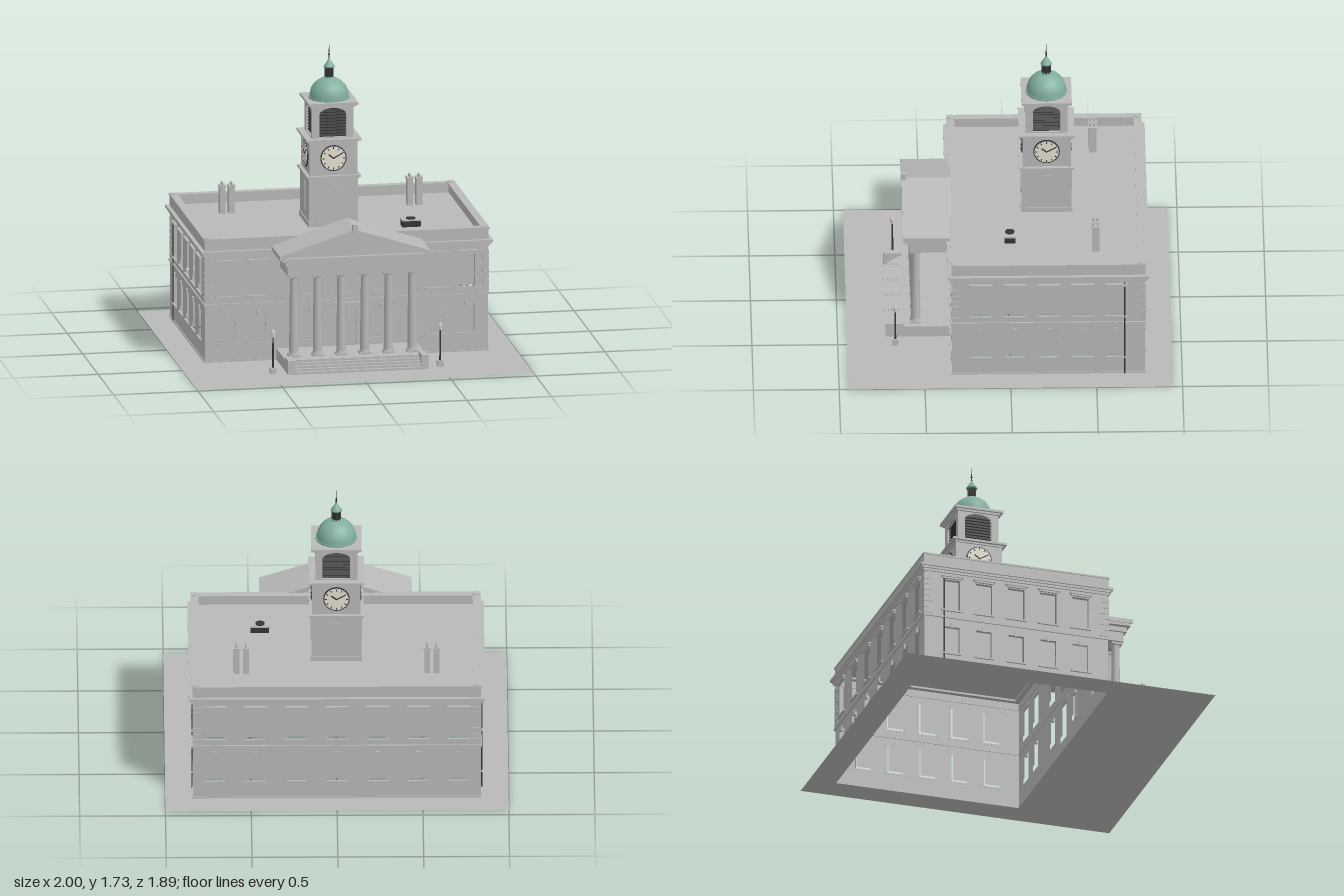
import * as THREE from 'three';

const stone = new THREE.MeshStandardMaterial({ color: 0xb8b8b8 }); stone.name = 'stone';
const shell = new THREE.MeshStandardMaterial({ color: 0xb8b8b8, side: THREE.DoubleSide }); shell.name = 'stone sheet';
const copper = new THREE.MeshStandardMaterial({ color: 0x82af9f }); copper.name = 'green copper';
const dark = new THREE.MeshStandardMaterial({ color: 0x343434 }); dark.name = 'dark iron';
const cream = new THREE.MeshStandardMaterial({ color: 0xe4e0d0 }); cream.name = 'cream';

const HX = 0.838, HZ = 0.5625, CZ = -0.2225; // building half sizes and centre

function add(parent, name, geo, mat, x = 0, y = 0, z = 0) {
  const m = new THREE.Mesh(geo, mat);
  m.name = name;
  m.position.set(x, y, z);
  parent.add(m);
  return m;
}
function group(parent, name, x = 0, y = 0, z = 0) {
  const g = new THREE.Group();
  g.name = name;
  g.position.set(x, y, z);
  parent.add(g);
  return g;
}
// box standing on y0
const box = (p, name, w, h, d, x, y0, z, mat = stone) =>
  add(p, name, new THREE.BoxGeometry(w, h, d), mat, x, y0 + h / 2, z);
const cyl = (p, name, rt, rb, h, x, y0, z, mat = stone, n = 16) =>
  add(p, name, new THREE.CylinderGeometry(rt, rb, h, n), mat, x, y0 + h / 2, z);
const lathe = (p, name, pts, mat, x, y, z, n = 20) =>
  add(p, name, new THREE.LatheGeometry(pts.map(a => new THREE.Vector2(...a)), n), mat, x, y, z);
const poly = pts => new THREE.Shape(pts.map(a => new THREE.Vector2(...a)));
const rect = (x0, y0, x1, y1) => poly([[x0, y0], [x1, y0], [x1, y1], [x0, y1]]);
const extrude = (s, depth) => new THREE.ExtrudeGeometry(s, { depth, bevelEnabled: false, curveSegments: 10 });

// rectangular frame lying flat, open in the middle
function frame(p, name, hx, hz, ix, iz, y0, h) {
  const s = rect(-hx, -hz, hx, hz);
  s.holes.push(rect(-ix, -iz, ix, iz));
  add(p, name, extrude(s, h).rotateX(-Math.PI / 2), stone, 0, y0, 0);
}

// one wall with its openings; local +z points outwards
function wall(p, name, half, dist, turn, lower, upper, door) {
  const g = group(p, name);
  g.rotation.y = turn;
  const s = rect(-half, 0, half, 0.66);
  const opening = (x, y0, y1, w) => {
    s.holes.push(rect(x - w / 2, y0, x + w / 2, y1));
    add(g, 'recessedPane', new THREE.PlaneGeometry(w, y1 - y0), shell, x, (y0 + y1) / 2, dist - 0.024);
  };
  for (const x of lower) {
    opening(x, 0.115, 0.285, 0.095);
    box(g, 'lowerSill', 0.12, 0.009, 0.012, x, 0.106, dist + 0.005);
    box(g, 'keystone', 0.022, 0.03, 0.01, x, 0.277, dist + 0.004);
  }
  for (const x of upper) {
    opening(x, 0.392, 0.585, 0.1);
    box(g, 'upperSill', 0.13, 0.01, 0.012, x, 0.382, dist + 0.005);
    box(g, 'hoodLower', 0.115, 0.01, 0.012, x, 0.59, dist + 0.005);
    box(g, 'hoodUpper', 0.135, 0.01, 0.018, x, 0.6, dist + 0.008);
  }
  if (door) {
    opening(0, 0.07, 0.3, 0.115);
    box(g, 'doorHood', 0.16, 0.014, 0.025, 0, 0.315, dist + 0.01);
  }
  add(g, name + 'Face', new THREE.ShapeGeometry(s), shell, 0, 0, dist);
  // quoins at both ends of the upper storey
  for (const e of [-1, 1]) for (let i = 0; i < 7; i++) {
    const w = i % 2 ? 0.035 : 0.055;
    box(g, 'quoin', w, 0.029, 0.004, e * (half + 0.003 - w / 2), 0.36 + i * 0.036, dist + 0.002);
  }
}

function column(p, x, z) {
  box(p, 'columnPlinth', 0.066, 0.012, 0.066, x, 0.068, z);
  cyl(p, 'columnBase', 0.028, 0.031, 0.014, x, 0.08, z);
  lathe(p, 'columnShaft', [[0.0275, 0.09], [0.0265, 0.25], [0.0225, 0.535], [0.03, 0.548]], stone, x, 0, z, 16);
  box(p, 'columnAbacus', 0.064, 0.012, 0.064, x, 0.547, z);
}

function portico(p) {
  const g = group(p, 'portico');
  box(g, 'porchFloor', 0.83, 0.068, 0.28, 0, 0, 0.48);
  for (let i = 0; i < 5; i++) box(g, 'step', 0.75, 0.0135 * (i + 1), 0.02, 0, 0, 0.71 - i * 0.02);
  for (const e of [-1, 1]) box(g, 'stepCheek', 0.04, 0.085, 0.105, e * 0.395, 0, 0.6675);
  for (let i = 0; i < 6; i++) column(g, -0.35 + i * 0.14, 0.545);
  box(g, 'architrave', 0.79, 0.058, 0.24, 0, 0.559, 0.46);
  box(g, 'frieze', 0.815, 0.03, 0.255, 0, 0.617, 0.4675);
  box(g, 'porticoCornice', 0.865, 0.02, 0.27, 0, 0.647, 0.475);
  add(g, 'tympanum', extrude(poly([[-0.41, 0.665], [0.41, 0.665], [0, 0.81]]), 0.245), stone, 0, 0, 0.34);
  add(g, 'rakingRoof', extrude(poly([[-0.445, 0.66], [0, 0.8], [0.445, 0.66], [0.445, 0.686], [0, 0.83], [-0.445, 0.686]]), 0.285), stone, 0, 0, 0.335);
  box(g, 'finialBlock', 0.03, 0.05, 0.03, 0, 0.81, 0.61);
}

function clockFace(p, dist) {
  const g = group(p, 'clock', 0, 1.087, dist);
  const disc = (r, h, m, n) => add(g, n, new THREE.CylinderGeometry(r, r, h, 32).rotateX(Math.PI / 2), m, 0, 0, h / 2);
  disc(0.077, 0.007, dark, 'clockRim');
  disc(0.071, 0.009, cream, 'clockDial');
  const bar = (n, w, len, r, a) => {
    const m = add(g, n, new THREE.BoxGeometry(w, len, 0.003), dark, Math.sin(a) * r, Math.cos(a) * r, 0.0105);
    m.rotation.z = -a;
  };
  for (let i = 0; i < 12; i++) bar('hourMark', 0.005, 0.011, 0.061, i * Math.PI / 6);
  bar('hourHand', 0.008, 0.04, 0.018, -0.9);
  bar('minuteHand', 0.006, 0.058, 0.026, 1.05);
}

function tower(p) {
  const g = group(p, 'tower', 0, 0, CZ);
  const sq = (n, half, y0, h, m) => box(g, n, half * 2, h, half * 2, 0, y0, 0, m);
  sq('towerFoot', 0.15, 0.68, 0.03);
  sq('towerBase', 0.145, 0.71, 0.255);
  sq('baseMoulding', 0.15, 0.96, 0.012);
  sq('baseCornice', 0.16, 0.972, 0.012);
  sq('clockStage', 0.137, 0.984, 0.2);
  sq('clockMoulding', 0.146, 1.18, 0.01);
  sq('clockCornice', 0.163, 1.19, 0.013);
  sq('louvreCore', 0.095, 1.203, 0.19, dark);
  sq('belfryMoulding', 0.134, 1.39, 0.012);
  sq('belfryCornice', 0.147, 1.402, 0.015);
  for (let k = 0; k < 4; k++) {
    const f = group(g, 'towerSide');
    f.rotation.y = k * Math.PI / 2;
    box(f, 'basePanel', 0.045, 0.17, 0.006, 0, 0.755, 0.146);
    for (const e of [-1, 1]) box(f, 'clockPilaster', 0.025, 0.196, 0.008, e * 0.1285, 0.984, 0.137);
    clockFace(f, 0.137);
    // arched belfry opening with slats
    const s = rect(-0.123, 1.203, 0.123, 1.39), hole = new THREE.Path();
    hole.moveTo(-0.08, 1.21);
    hole.lineTo(0.08, 1.21);
    hole.lineTo(0.08, 1.345);
    hole.absellipse(0, 1.345, 0.08, 0.038, 0, Math.PI, false);
    hole.lineTo(-0.08, 1.21);
    s.holes.push(hole);
    add(f, 'belfryArch', extrude(s, 0.022), stone, 0, 0, 0.101);
    for (let i = 0; i < 9; i++) {
      const slat = box(f, 'louvreSlat', 0.158, 0.004, 0.018, 0, 1.215 + i * 0.018, 0.105, dark);
      slat.rotation.x = 0.6;
    }
  }
  // dome, lantern and spire
  cyl(g, 'domeDrum', 0.122, 0.122, 0.012, 0, 1.415, 0, copper, 16);
  const arc = [];
  for (let i = 0; i <= 10; i++) {
    const a = i * Math.PI / 20;
    arc.push([0.116 * Math.cos(a), 0.115 * Math.sin(a)]);
  }
  lathe(g, 'dome', arc, copper, 0, 1.427, 0, 16);
  cyl(g, 'lanternBase', 0.03, 0.032, 0.008, 0, 1.535, 0, copper);
  cyl(g, 'lanternCore', 0.016, 0.016, 0.062, 0, 1.54, 0, dark);
  for (let i = 0; i < 8; i++) {
    const a = i * Math.PI / 4;
    cyl(g, 'lanternPost', 0.004, 0.004, 0.062, Math.cos(a) * 0.023, 1.54, Math.sin(a) * 0.023, dark, 8);
  }
  lathe(g, 'lanternRoof', [[0, 0], [0.033, 0], [0.031, 0.008], [0.018, 0.026], [0.008, 0.044], [0, 0.056]], copper, 0, 1.6, 0, 16);
  cyl(g, 'spire', 0.0015, 0.004, 0.085, 0, 1.645, 0, dark, 8);
  add(g, 'spireBall', new THREE.SphereGeometry(0.006, 10, 8), dark, 0, 1.675, 0);
}

export function createModel() {
  const model = new THREE.Group();
  model.name = 'clockTowerHall';

  // ground sheet, open under the building
  const lot = rect(-1, -0.945, 1, 0.945);
  lot.holes.push(rect(-HX, -CZ - HZ, HX, -CZ + HZ));
  add(model, 'ground', new THREE.ShapeGeometry(lot).rotateX(-Math.PI / 2), shell);

  // hollow main block
  const hall = group(model, 'hall', 0, 0, CZ);
  const sides = [-0.71, -0.525, 0.525, 0.71], mid = [-0.21, 0.21];
  const back = [-3, -2, -1, 0, 1, 2, 3].map(i => i * 0.237), flank = [-2, -1, 0, 1, 2].map(i => i * 0.197);
  wall(hall, 'frontWall', HX, HZ, 0, [...sides, ...mid], [...sides, ...mid, 0], true);
  wall(hall, 'backWall', HX, HZ, Math.PI, back, back);
  wall(hall, 'leftWall', HZ, HX, Math.PI / 2, flank, flank);
  wall(hall, 'rightWall', HZ, HX, -Math.PI / 2, flank, flank);
  const ring = (n, out, y0, h, inset = 0.004) => frame(hall, n, HX + out, HZ + out, HX - inset, HZ - inset, y0, h);
  ring('plinth', 0.005, 0, 0.01);
  ring('beltCourse', 0.008, 0.338, 0.012);
  ring('lowerCornice', 0.008, 0.625, 0.015);
  ring('middleCornice', 0.016, 0.64, 0.013);
  ring('upperCornice', 0.025, 0.653, 0.015);
  ring('parapet', 0.002, 0.668, 0.062, 0.034);
  ring('parapetCoping', 0.007, 0.73, 0.01, 0.04);
  add(hall, 'roof', new THREE.PlaneGeometry(HX * 2, HZ * 2).rotateX(-Math.PI / 2), shell, 0, 0.68, 0);

  portico(model);
  tower(model);

  for (const e of [-1, 1]) {
    cyl(model, 'drainpipe', 0.004, 0.004, 0.615, e * (HX + 0.005), 0, -0.665, dark, 8);
    for (const z of [-1, 1]) cyl(hall, 'parapetCornerCap', 0.022, 0.022, 0.014, e * (HX - 0.018), 0.73, z * (HZ - 0.018));
    // twin chimney stacks
    const c = group(model, 'chimney', e * 0.555, 0, -0.502);
    for (const x of [-0.027, 0.027]) {
      box(c, 'chimneyStack', 0.034, 0.16, 0.044, x, 0.68, 0);
      box(c, 'chimneyCap', 0.042, 0.01, 0.054, x, 0.838, 0);
      for (const z of [-0.012, 0.012]) cyl(c, 'chimneyPot', 0.006, 0.007, 0.018, x, 0.848, z, stone, 10);
    }
    // street lamp
    const l = group(model, 'streetLamp', e * 0.495, 0, 0.665);
    box(l, 'lampBase', 0.036, 0.036, 0.036, 0, 0, 0);
    cyl(l, 'lampPost', 0.004, 0.006, 0.185, 0, 0.036, 0, dark, 10);
    cyl(l, 'lampGlass', 0.016, 0.009, 0.032, 0, 0.218, 0, cream, 6);
    cyl(l, 'lampCap', 0.002, 0.017, 0.016, 0, 0.25, 0, stone, 6);
  }

  // rooftop fan unit
  const fan = group(model, 'roofUnit', 0.443, 0, -0.003);
  box(fan, 'unitBody', 0.108, 0.036, 0.062, 0, 0.68, 0, dark);
  box(fan, 'unitLid', 0.114, 0.008, 0.068, 0, 0.716, 0);
  cyl(fan, 'unitFan', 0.027, 0.027, 0.01, 0, 0.72, 0, dark, 20);
  return model;
}
